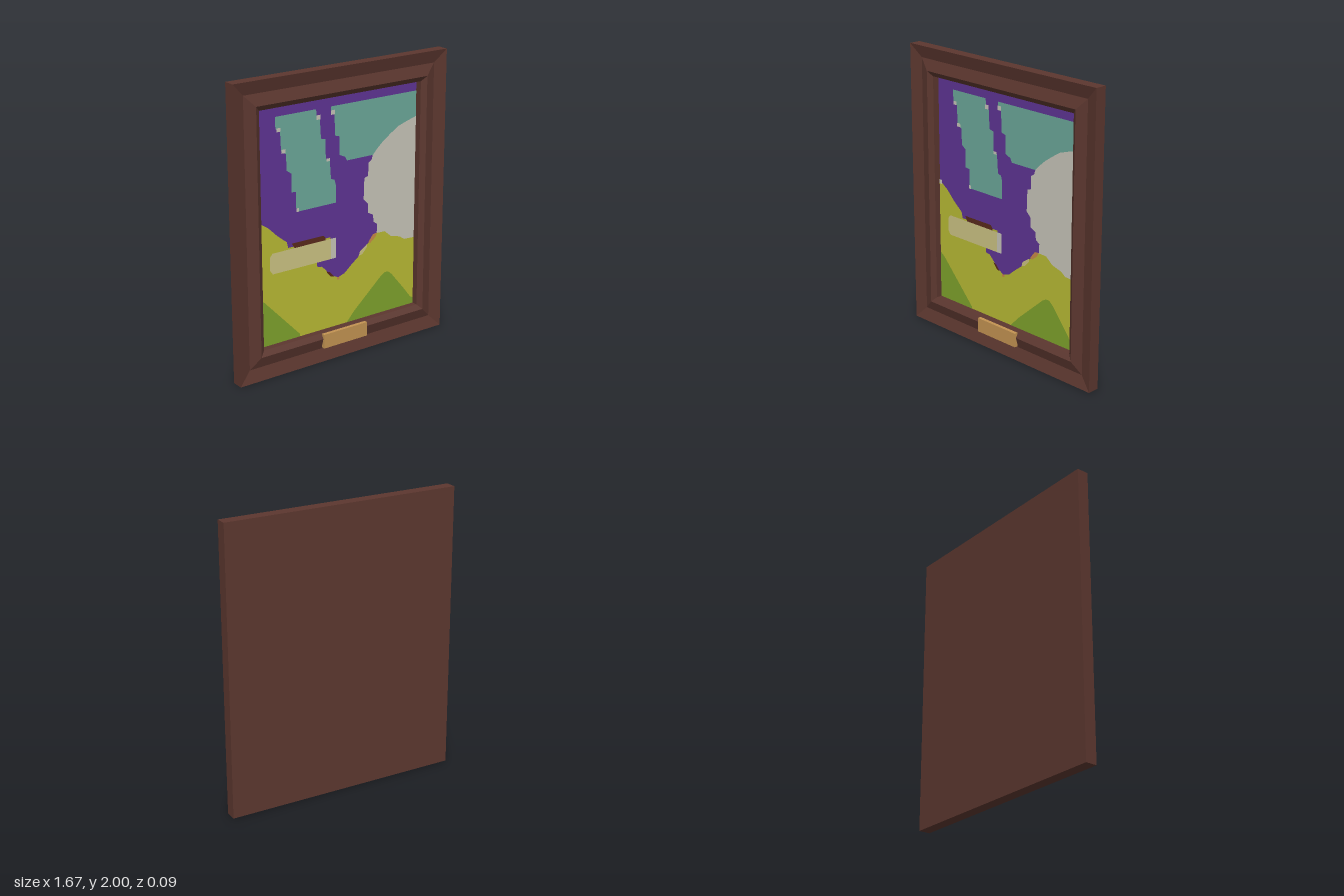
import * as THREE from 'three';

const WIDTH = 1.67, HEIGHT = 2, BACK = -0.045, CANVAS_Z = -0.034;

function material(name, color) {
  const m = new THREE.MeshStandardMaterial({ color });
  m.name = name;
  return m;
}

const mats = {
  wood: material('brown wood', 0x5c372f),
  purple: material('purple paint', 0x5f3494),
  teal: material('teal paint', 0x6ba899),
  pale: material('pale grey paint', 0xc8c5b9),
  yellow: material('yellow paint', 0xb8ba34),
  green: material('green paint', 0x7ea22c),
  cream: material('cream paint', 0xcdc483),
  umber: material('umber paint', 0x5a2a1c),
  orange: material('orange paint', 0xc98a48),
  brass: material('brass', 0xc39352),
};

// Sweeps an [inset, z] profile around a rectangle with mitred corners
function mitredFrame(profile) {
  const loops = profile.map(([inset, z]) => {
    const x = WIDTH / 2 - inset, lo = inset, hi = HEIGHT - inset;
    return [[-x, lo, z], [x, lo, z], [x, hi, z], [-x, hi, z]];
  });
  const pos = [];
  for (let i = 0; i < loops.length - 1; i++) {
    for (let k = 0; k < 4; k++) {
      const n = (k + 1) % 4;
      const a = loops[i][k], b = loops[i][n], c = loops[i + 1][n], d = loops[i + 1][k];
      pos.push(...a, ...b, ...c, ...a, ...c, ...d);
    }
  }
  const geo = new THREE.BufferGeometry();
  geo.setAttribute('position', new THREE.Float32BufferAttribute(pos, 3));
  geo.computeVertexNormals();
  return geo;
}

// Flat patch of paint; outline points are in hundredths of a unit
function paint(name, mat, layer, outline) {
  const shape = new THREE.Shape(outline.map(([x, y]) => new THREE.Vector2(x / 100, y / 100)));
  const mesh = new THREE.Mesh(new THREE.ShapeGeometry(shape), mat);
  mesh.name = name;
  mesh.position.z = CANVAS_Z + layer * 0.001;
  return mesh;
}

const rect = (x0, y0, x1, y1) => [[x0, y0], [x1, y0], [x1, y1], [x0, y1]];

export function createModel() {
  const model = new THREE.Group();
  model.name = 'framedPainting';

  // Frame moulding: outer slope, raised inner ridge, deep rebate
  const frame = new THREE.Mesh(mitredFrame([
    [0, BACK], [0, 0.037], [0.087, 0.012], [0.163, 0.037], [0.198, 0.013], [0.198, CANVAS_Z - 0.001],
  ]), mats.wood);
  frame.name = 'frame';
  model.add(frame);

  const back = new THREE.Mesh(new THREE.PlaneGeometry(WIDTH, HEIGHT), mats.wood);
  back.name = 'backPanel';
  back.rotation.y = Math.PI;
  back.position.set(0, HEIGHT / 2, BACK);
  model.add(back);

  // Name plate on the lower rail, left blank
  const plate = new THREE.Mesh(new THREE.BoxGeometry(0.356, 0.1, 0.025), mats.brass);
  plate.name = 'plaque';
  plate.position.set(-0.003, 0.147, 0.0335);
  model.add(plate);

  // Painting, layered from background to foreground
  const painting = new THREE.Group();
  painting.name = 'painting';
  model.add(painting);
  const E = 63.7;
  painting.add(
    paint('background', mats.purple, 0, rect(-E, 19.8, E, 180.2)),
    paint('tealBand', mats.teal, 1, [
      [-49, 173], [-18, 173], [-17.5, 169], [-15, 165.5], [-14.3, 153], [-10.6, 152],
      [-10.6, 138.5], [-7.4, 137.5], [-6.5, 124.5], [-3.7, 123.5], [-2.7, 120], [-2.7, 107.5],
      [-32.3, 107.5], [-34, 110], [-34, 121], [-37.5, 121.5], [-37.5, 134], [-41, 136.5],
      [-41.3, 147.5], [-45, 150], [-45.5, 163], [-49, 165],
    ]),
    paint('tealCorner', mats.teal, 1, [
      [-6.5, 173], [E, 173], [E, 150], [32, 134.7], [6.3, 134.7], [4.8, 137.5],
      [0.5, 139.5], [0.5, 152], [-3, 153], [-3.7, 167.5], [-6.5, 170],
    ]),
    paint('paleDisc', mats.pale, 2, [
      [E, 155.5], [55, 153], [48.7, 151], [42.3, 147], [36, 142.7], [31.2, 138.5],
      [27.5, 134.7], [26.5, 131.5], [23.8, 130], [23.8, 121], [20.6, 120], [20.1, 105],
      [23.8, 101.3], [23.8, 95], [28, 92.8], [28.6, 87.5], [31.7, 85.4], [31.2, 78], [E, 66],
    ]),
    paint('yellowHill', mats.yellow, 3, [
      [-E, 106.5], [-56, 101.3], [-49, 94.4], [-41.8, 88.6], [-40.7, 84.4], [-7, 84.4],
      [-7, 69], [-18, 69], [-18, 65.8], [-14.3, 65.2], [-10, 61], [-6.9, 57.3], [-1, 54.5],
      [4.2, 56.2], [10.6, 61.5], [17, 66.3], [23.8, 73.2], [31.2, 79], [38, 78.8],
      [43.4, 74.3], [51.3, 72.1], [55, 69.5], [E, 69], [E, 19.8], [-E, 19.8],
    ]),
    paint('leftGreenMound', mats.green, 4,
      [[-E, 53.6], [-60, 51], [-32.3, 21.5], [-32.3, 19.8], [-E, 19.8]]),
    paint('rightGreenMound', mats.green, 4, [
      [6, 19.8], [12.7, 27], [35.5, 47.2], [38.5, 48.8], [41.3, 48.8], [44.5, 46],
      [54, 34.5], [61.4, 25], [E, 24], [E, 19.8],
    ]),
    paint('creamStrip', mats.cream, 5,
      [[-53, 83.3], [-7, 83.3], [-7, 69], [-53, 69], [-55, 71.5], [-55, 81]]),
    paint('paleStripEnd', mats.pale, 5, [[-7, 83.3], [-3.3, 83.3], [-2.7, 82.5], [-2.7, 69.6], [-3.3, 69], [-7, 69]]),
    paint('umberStroke', mats.umber, 5,
      [[-38, 86.8], [-13, 86.8], [-11.5, 85], [-11.5, 83.3], [-36, 83.3]]),
    paint('umberFleck', mats.umber, 5, [[-11, 61], [-8, 60], [-4.5, 56], [-7, 56.5]]),
    paint('orangeStroke', mats.orange, 5, [[24, 74], [28, 79], [31.5, 79.3], [30, 76.5], [25.5, 73]]),
    paint('orangeFleck', mats.orange, 5, rect(-2.2, 53, 0, 54.8)),
    paint('creamFleck', mats.cream, 5, [[16, 66], [17, 69], [23, 73], [23, 71], [19, 66.5]]),
  );

  // Small pale flecks along the ragged paint edges
  [[-48.5, 163, -45.5, 165.5], [-45, 148.5, -42, 151], [-18, 166, -15, 169], [-10.5, 137, -7.5, 139],
    [-6.5, 167.5, -3.5, 170.5], [-34, 107.5, -32, 110], [-63.5, 104, -61, 107]]
    .forEach((r) => painting.add(paint('paleFleck', mats.pale, 5, rect(...r))));

  return model;
}
